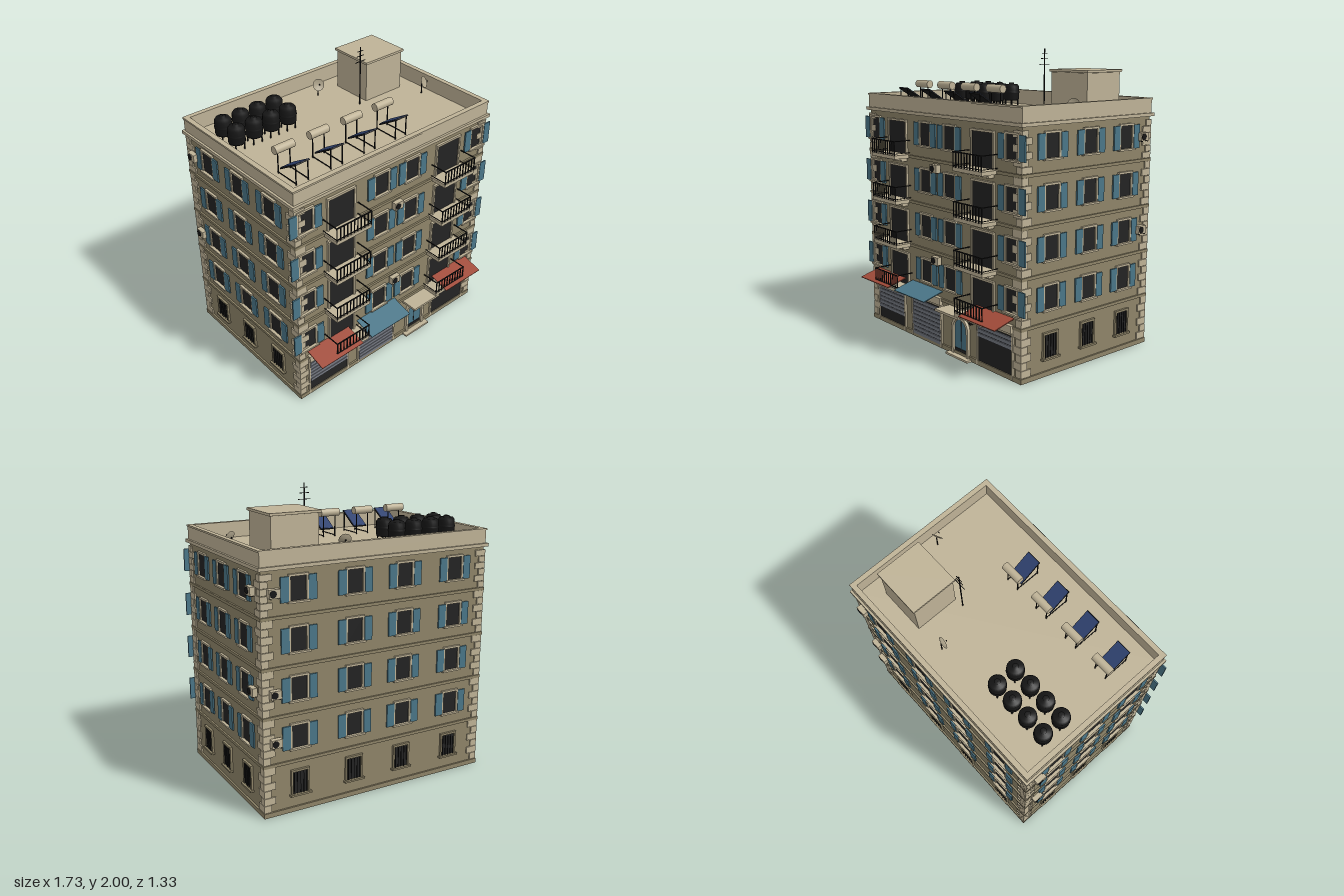
import * as THREE from 'three';

const mat = (name, color) => {
  const m = new THREE.MeshStandardMaterial({ color });
  m.name = name;
  return m;
};

export function createModel() {
  const wall = mat('olive stucco', 0x8f8569), trim = mat('pale stone', 0xbfb397);
  const dark = mat('dark glass', 0x232323), iron = mat('black iron', 0x161616);
  const teal = mat('teal paint', 0x4a7688), red = mat('red canvas', 0xa04a39);
  const grey = mat('roller steel', 0x747881), solar = mat('solar blue', 0x2f4270);
  const dishMat = mat('dish stone', 0xaaa088);
  dishMat.side = THREE.DoubleSide;

  const root = new THREE.Group();
  root.name = 'apartmentBuilding';
  const group = (parent, name, x = 0, y = 0, z = 0) => {
    const g = new THREE.Group();
    g.name = name;
    g.position.set(x, y, z);
    parent.add(g);
    return g;
  };
  const add = (parent, name, geo, m, x = 0, y = 0, z = 0) => {
    const o = new THREE.Mesh(geo, m);
    o.name = name;
    o.position.set(x, y, z);
    parent.add(o);
    return o;
  };
  const box = (p, name, m, w, h, d, x, y, z) => add(p, name, new THREE.BoxGeometry(w, h, d), m, x, y, z);
  const cyl = (p, name, m, r, h, x, y, z, n = 20) => add(p, name, new THREE.CylinderGeometry(r, r, h, n), m, x, y, z);

  // Main block, floor bands and cornice
  const X = 0.82, ZC = -0.058, Z = 0.563, ROOF = 1.575;
  const FLOORS = [0.35, 0.662, 0.972, 1.284];
  const slab = (name, m, y, h, grow) => box(root, name, m, 2 * (X + grow), h, 2 * (Z + grow), 0, y, ZC);
  slab('walls', wall, 0.785, 1.57, 0);
  slab('roofDeck', trim, 1.57, 0.01, -0.005);
  slab('plinth', wall, 0.016, 0.032, 0.012);
  FLOORS.forEach(y => slab('floorBand', wall, y - 0.008, 0.02, 0.012));
  const ring = (name, m, y, h, out, inn) => {
    const d = out - inn, c = (out + inn) / 2;
    for (const s of [-1, 1]) {
      box(root, name, m, 2 * (X + out), h, d, 0, y, ZC + s * (Z + c));
      box(root, name, m, d, h, 2 * (Z + inn), s * (X + c), y, ZC);
    }
  };
  ring('cornice', trim, 1.575, 0.022, 0.023, -0.02);
  ring('parapet', trim, 1.625, 0.1, 0.008, -0.02);
  ring('coping', trim, 1.678, 0.012, 0.013, -0.022);

  // Alternating corner stones
  const levels = [0.034, ...FLOORS.map(y => y + 0.003), 1.565];
  for (let f = 0; f < 5; f++) {
    const h = (levels[f + 1] - 0.021 - levels[f]) / 6;
    for (let i = 0; i < 6; i++) for (const sx of [-1, 1]) for (const sz of [-1, 1]) {
      const w = i % 2 ? 0.08 : 0.05, d = i % 2 ? 0.05 : 0.08;
      box(root, 'cornerStone', trim, w, h - 0.003, d, sx * (X + 0.009 - w / 2), levels[f] + h * (i + 0.5), ZC + sz * (Z + 0.009 - d / 2));
    }
  }

  // Facades: local z = 0 is the wall plane, facing outward
  const facade = (name, x, z, ry) => {
    const g = group(root, name, x, 0, z);
    g.rotation.y = ry;
    return g;
  };
  const front = facade('frontFacade', 0, ZC + Z, 0);
  const right = facade('plusXFacade', X, ZC, Math.PI / 2);
  const left = facade('minusXFacade', -X, ZC, -Math.PI / 2);
  const back = facade('backFacade', 0, ZC - Z, Math.PI);

  const opening = (p, w, h, y0, m = trim) => {
    box(p, 'pane', dark, w, h, 0.008, 0, y0 + h / 2, 0.002);
    for (const s of [-1, 1]) box(p, 'jamb', m, 0.013, h, 0.016, s * (w / 2 + 0.0065), y0 + h / 2, 0.006);
    box(p, 'lintel', m, w + 0.026, 0.014, 0.018, 0, y0 + h + 0.007, 0.007);
  };
  const windowAt = (f, x, y) => {
    const g = group(f, 'window', x, y);
    opening(g, 0.106, 0.148, 0);
    box(g, 'sill', trim, 0.149, 0.012, 0.028, 0, -0.006, 0.012);
    for (const s of [-1, 1]) {
      box(g, 'shutter', teal, 0.055, 0.155, 0.01, s * 0.094, 0.073, 0.012);
    }
  };
  const groundWindow = (f, x) => {
    const g = group(f, 'groundWindow', x, 0.12);
    opening(g, 0.104, 0.15, 0, wall);
    box(g, 'sill', wall, 0.149, 0.012, 0.028, 0, -0.006, 0.012);
    for (let i = -2; i <= 2; i++) box(g, 'bar', iron, 0.004, 0.15, 0.004, i * 0.022, 0.075, 0.012);
  };
  const airCon = (f, x, y) => {
    const g = group(f, 'airConditioner', x, y);
    box(g, 'casing', trim, 0.072, 0.054, 0.034, 0, 0, 0.026);
    cyl(g, 'fan', iron, 0.022, 0.004, -0.011, 0, 0.044).rotation.x = Math.PI / 2;
    for (const s of [-1, 1]) box(g, 'bracket', iron, 0.005, 0.005, 0.044, s * 0.025, -0.03, 0.022);
  };

  const sideCols = [-0.328, 0, 0.328], backCols = [-0.577, -0.184, 0.184, 0.577];
  for (const [f, cols] of [[front, [-0.747, -0.135, 0.132, 0.742]], [right, sideCols], [left, sideCols], [back, backCols]]) {
    for (const x of cols) {
      FLOORS.forEach(y => windowAt(f, x, y + 0.083));
      if (f !== front) groundWindow(f, x);
    }
  }
  for (const y of [1.437, 0.815]) { airCon(right, 0.475, y); airCon(left, -0.475, y); }
  for (const y of [1.43, 0.81, 0.497]) airCon(back, -0.748, y);
  for (const y of [1.23, 0.61]) airCon(front, -0.004, y);

  // Balconies with doors and iron railings
  for (const x of [-0.467, 0.463]) for (const y of FLOORS) {
    const g = group(front, 'balcony', x, y);
    opening(g, 0.2, 0.225, 0);
    box(g, 'slab', trim, 0.282, 0.025, 0.128, 0, -0.008, 0.064);
    for (const s of [-1, 0, 1]) {
      box(g, 'corbel', trim, 0.02, 0.014, 0.09, s * 0.093, -0.027, 0.045);
      box(g, 'corbel', trim, 0.02, 0.014, 0.045, s * 0.093, -0.041, 0.0225);
    }
    box(g, 'topRail', iron, 0.284, 0.007, 0.007, 0, 0.1, 0.126);
    box(g, 'lowRail', iron, 0.284, 0.005, 0.005, 0, 0.016, 0.126);
    for (let i = 0; i <= 10; i++) box(g, 'baluster', iron, 0.006, 0.1, 0.006, -0.138 + i * 0.0276, 0.052, 0.126);
    for (const s of [-1, 1]) {
      box(g, 'sideRail', iron, 0.006, 0.006, 0.126, s * 0.139, 0.1, 0.063);
      box(g, 'sideLowRail', iron, 0.004, 0.004, 0.126, s * 0.139, 0.016, 0.063);
    }
  }

  // Shop fronts: roller shutters and sloped awnings
  for (const [x, bottom, m] of [[-0.582, 0.13, red], [-0.148, 0.04, teal], [0.578, 0.215, red]]) {
    const g = group(front, 'shop', x);
    opening(g, 0.326, 0.285, 0.005);
    box(g, 'shopHeader', trim, 0.35, 0.05, 0.03, 0, 0.33, 0.012);
    for (let y = 0.277; y > bottom; y -= 0.029) box(g, 'slat', grey, 0.322, 0.024, 0.008, 0, y - 0.012, 0.009);
    const a = box(g, 'awning', m, 0.354, 0.006, 0.163, 0, 0.376, 0.077);
    a.rotation.x = 0.27;
  }

  // Arched entrance with step, canopy and lamp
  const arch = (r, h, C = THREE.Shape) => {
    const s = new C();
    s.moveTo(-r, 0);
    s.lineTo(r, 0);
    s.lineTo(r, h);
    s.absarc(0, h, r, 0, Math.PI, false);
    s.lineTo(-r, 0);
    return s;
  };
  const door = group(front, 'entrance', 0.235);
  const surround = arch(0.088, 0.19);
  surround.holes.push(arch(0.068, 0.19, THREE.Path));
  add(door, 'archSurround', new THREE.ExtrudeGeometry(surround, { depth: 0.02, bevelEnabled: false, curveSegments: 16 }), trim);
  add(door, 'doorLeaf', new THREE.ShapeGeometry(arch(0.068, 0.19), 16), teal, 0, 0, 0.004);
  box(door, 'kickPlate', dark, 0.13, 0.035, 0.004, 0, 0.035, 0.006);
  box(door, 'doorSplit', dark, 0.004, 0.24, 0.003, 0, 0.125, 0.005);
  box(door, 'step', trim, 0.23, 0.014, 0.05, 0, 0.007, 0.025);
  box(door, 'canopy', trim, 0.25, 0.016, 0.128, 0, 0.32, 0.064);
  box(door, 'lamp', iron, 0.016, 0.026, 0.022, 0.11, 0.265, 0.011);

  // Stair house and aerial
  box(root, 'stairHouse', trim, 0.326, 0.28, 0.304, 0.515, 1.71, -0.325);
  box(root, 'stairHouseCap', trim, 0.348, 0.016, 0.326, 0.515, 1.86, -0.325);
  box(root, 'mast', iron, 0.006, 2 - ROOF, 0.006, 0.288, (2 + ROOF) / 2, -0.167);
  [[1.97, 0.05], [1.935, 0.065], [1.895, 0.09]].forEach(([y, w]) => box(root, 'aerialBar', iron, w, 0.004, 0.004, 0.288, y, -0.167));

  // Water barrels on legs
  const barrel = [[0, 0], [0.052, 0], [0.056, 0.01], [0.056, 0.05], [0.059, 0.054], [0.059, 0.062], [0.056, 0.066],
    [0.056, 0.1], [0.045, 0.116], [0.02, 0.118], [0.02, 0.128], [0, 0.128]].map(p => new THREE.Vector2(...p));
  for (let i = 0; i < 4; i++) for (const z of [-0.377, -0.232]) {
    const g = group(root, 'waterBarrel', -0.69 + i * 0.135, ROOF, z);
    add(g, 'barrel', new THREE.LatheGeometry(barrel, 20), iron, 0, 0.047, 0);
    for (const sx of [-1, 1]) for (const sz of [-1, 1]) box(g, 'leg', iron, 0.007, 0.05, 0.007, sx * 0.033, 0.025, sz * 0.033);
  }

  // Solar heaters: panel tilted toward the back, drum behind it
  for (const x of [-0.625, -0.357, -0.086, 0.184]) {
    const g = group(root, 'solarHeater', x, ROOF, 0);
    cyl(g, 'drum', trim, 0.027, 0.145, 0, 0.17, 0.168).rotation.z = Math.PI / 2;
    const p = group(g, 'panel', 0, 0.098, 0.273);
    p.rotation.x = -0.56;
    box(p, 'panelFrame', iron, 0.106, 0.008, 0.184, 0, 0, 0);
    box(p, 'collector', solar, 0.1, 0.004, 0.178, 0, 0.005, 0);
    for (const s of [-1, 1]) {
      box(g, 'frontLeg', iron, 0.006, 0.14, 0.006, s * 0.046, 0.07, 0.34);
      box(g, 'drumLeg', iron, 0.006, 0.15, 0.006, s * 0.046, 0.075, 0.168);
      box(g, 'footRail', iron, 0.005, 0.005, 0.18, s * 0.046, 0.01, 0.255);
    }
  }

  // Satellite dishes
  const bowl = [0, 0.015, 0.03, 0.042].map(r => new THREE.Vector2(r, r * r * 6));
  for (const [x, z, yaw] of [[0.15, -0.45, -0.3], [0.73, 0, 0.43]]) {
    const g = group(root, 'satelliteDish', x, ROOF, z);
    g.rotation.y = yaw;
    cyl(g, 'dishPost', iron, 0.004, 0.09, 0, 0.045, -0.006, 8);
    add(g, 'dish', new THREE.LatheGeometry(bowl, 20), dishMat, 0, 0.085, 0).rotation.x = 1.15;
    box(g, 'receiver', iron, 0.007, 0.007, 0.007, 0, 0.1, 0.032);
  }
  return root;
}
